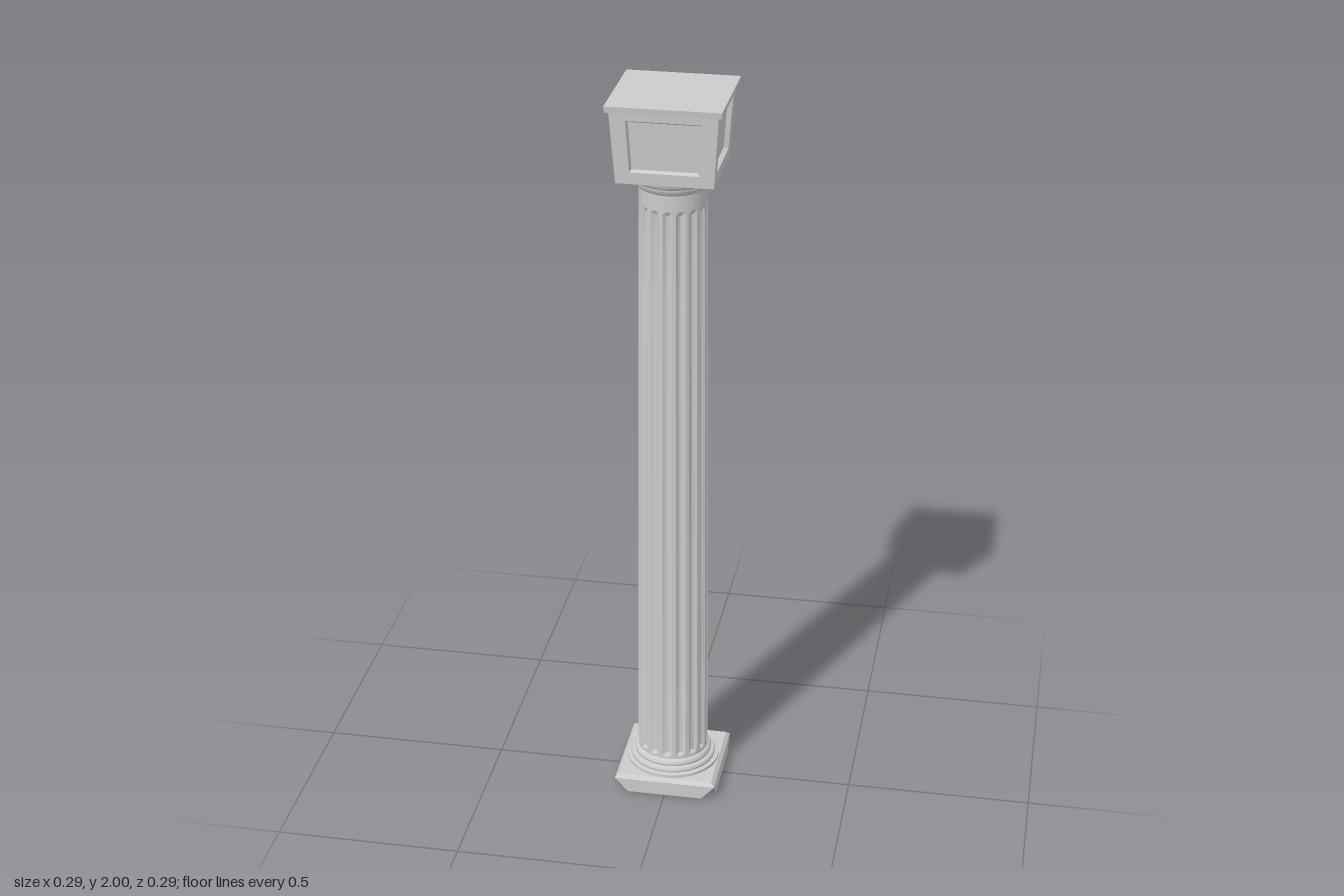
import * as THREE from 'three';
import { toCreasedNormals } from 'three/addons/utils/BufferGeometryUtils.js';

const stone = new THREE.MeshStandardMaterial({ color: 0xcccccc });
const thinStone = new THREE.MeshStandardMaterial({ color: 0xcccccc, side: THREE.DoubleSide });

function mesh(name, geometry, material = stone) {
  const m = new THREE.Mesh(geometry, material);
  m.name = name;
  return m;
}

// Turned ring from [radius, y] pairs listed upward
function turned(name, profile) {
  const pts = profile.map(([r, y]) => new THREE.Vector2(r, y));
  return mesh(name, toCreasedNormals(new THREE.LatheGeometry(pts, 64), 0.5));
}

// Square block with half widths at its bottom and top
function squareBlock(name, halfBottom, halfTop, y0, y1) {
  const g = new THREE.BoxGeometry(2, y1 - y0, 2);
  const p = g.attributes.position;
  for (let i = 0; i < p.count; i++) {
    const h = p.getY(i) > 0 ? halfTop : halfBottom;
    p.setX(i, p.getX(i) * h);
    p.setZ(i, p.getZ(i) * h);
  }
  g.translate(0, (y0 + y1) / 2, 0);
  g.computeVertexNormals();
  return mesh(name, g);
}

// Tapered shaft: round-bottomed flutes with flat fillets between them
function flutedShaft() {
  const y0 = 0.09, y1 = 1.76, flutes = 16, perFlute = 10, fluteSteps = 7;
  const rows = [y0, 0.1, 0.108, 0.4, 0.7, 1.0, 1.3, 1.5, 1.7, 1.712, y1];
  const g = new THREE.CylinderGeometry(1, 1, 1, flutes * perFlute, rows.length - 1, true);
  const p = g.attributes.position;
  const cols = flutes * perFlute + 1;
  for (let i = 0; i < p.count; i++) {
    const row = rows.length - 1 - Math.floor(i / cols);
    const k = (i % cols) % perFlute;
    const t = (rows[row] - y0) / (y1 - y0);
    const cut = row > 1 && row < rows.length - 2 && k < fluteSteps
      ? 0.008 * Math.sin(Math.PI * k / fluteSteps) : 0;
    const r = 0.097 - 0.01 * Math.pow(t, 1.4) - cut;
    // half a flute of turn puts a flute at the centre of each face
    const a = ((i % cols) - fluteSteps / 2) / (cols - 1) * Math.PI * 2;
    p.setXYZ(i, r * Math.sin(a), rows[row], r * Math.cos(a));
  }
  return mesh('flutedShaft', toCreasedNormals(g, 0.45));
}

// One leaning capital side with a recessed panel, made from nested four-corner loops
function capitalSide() {
  const y0 = 1.795, y1 = 1.985;
  const half = (y) => 0.124 + 0.013 * (y - y0) / (y1 - y0);
  const loop = (s0, s1, a, b, depth) => [[-s0, a], [s0, a], [s1, b], [-s1, b]]
    .map(([x, y]) => [x, y, half(y) - depth]);
  const loops = [
    loop(half(y0), half(y1), y0, y1, 0),
    loop(0.088, 0.095, 1.826, 1.962, 0),
    loop(0.084, 0.091, 1.831, 1.956, 0.012),
  ];
  const v = [];
  const quad = (a, b, c, d) => v.push(...a, ...b, ...c, ...a, ...c, ...d);
  for (let n = 0; n < 2; n++) {
    for (let i = 0; i < 4; i++) {
      const j = (i + 1) % 4;
      quad(loops[n][i], loops[n][j], loops[n + 1][j], loops[n + 1][i]);
    }
  }
  quad(...loops[2]);
  const g = new THREE.BufferGeometry();
  g.setAttribute('position', new THREE.Float32BufferAttribute(v, 3));
  g.computeVertexNormals();
  return g;
}

// Thin plinth skirt that narrows toward the floor, leaving notched corners
function skirtSide() {
  const s = new THREE.Shape();
  s.moveTo(-0.14, 0.04);
  s.lineTo(-0.103, 0);
  s.lineTo(0.103, 0);
  s.lineTo(0.14, 0.04);
  s.closePath();
  return new THREE.ShapeGeometry(s).translate(0, 0, 0.14);
}

export function createModel() {
  const column = new THREE.Group();
  column.name = 'column';

  // Plinth
  column.add(squareBlock('plinthSlab', 0.14, 0.13, 0.04, 0.05));
  const skirt = skirtSide();
  const panel = capitalSide();
  for (let i = 0; i < 4; i++) {
    const side = mesh('plinthSkirt', skirt, thinStone);
    const face = mesh('capitalPanel', panel);
    side.rotation.y = face.rotation.y = i * Math.PI / 2;
    column.add(side, face);
  }

  // Round base mouldings
  column.add(turned('baseMoulding', [
    [0.128, 0.049], [0.128, 0.058], [0.117, 0.06], [0.118, 0.066], [0.115, 0.072],
    [0.106, 0.074], [0.107, 0.08], [0.104, 0.087], [0.097, 0.092],
  ]));

  column.add(flutedShaft());

  // Neck rings under the capital
  column.add(turned('neckMoulding', [
    [0.087, 1.755], [0.093, 1.762], [0.096, 1.768], [0.096, 1.773],
    [0.1, 1.775], [0.105, 1.781], [0.107, 1.786], [0.107, 1.797],
  ]));

  // Capital underside and top slab
  const underside = mesh('capitalUnderside', new THREE.PlaneGeometry(0.248, 0.248));
  underside.rotation.x = Math.PI / 2;
  underside.position.y = 1.795;
  column.add(underside);
  column.add(squareBlock('topSlab', 0.145, 0.147, 1.984, 2));
  return column;
}
